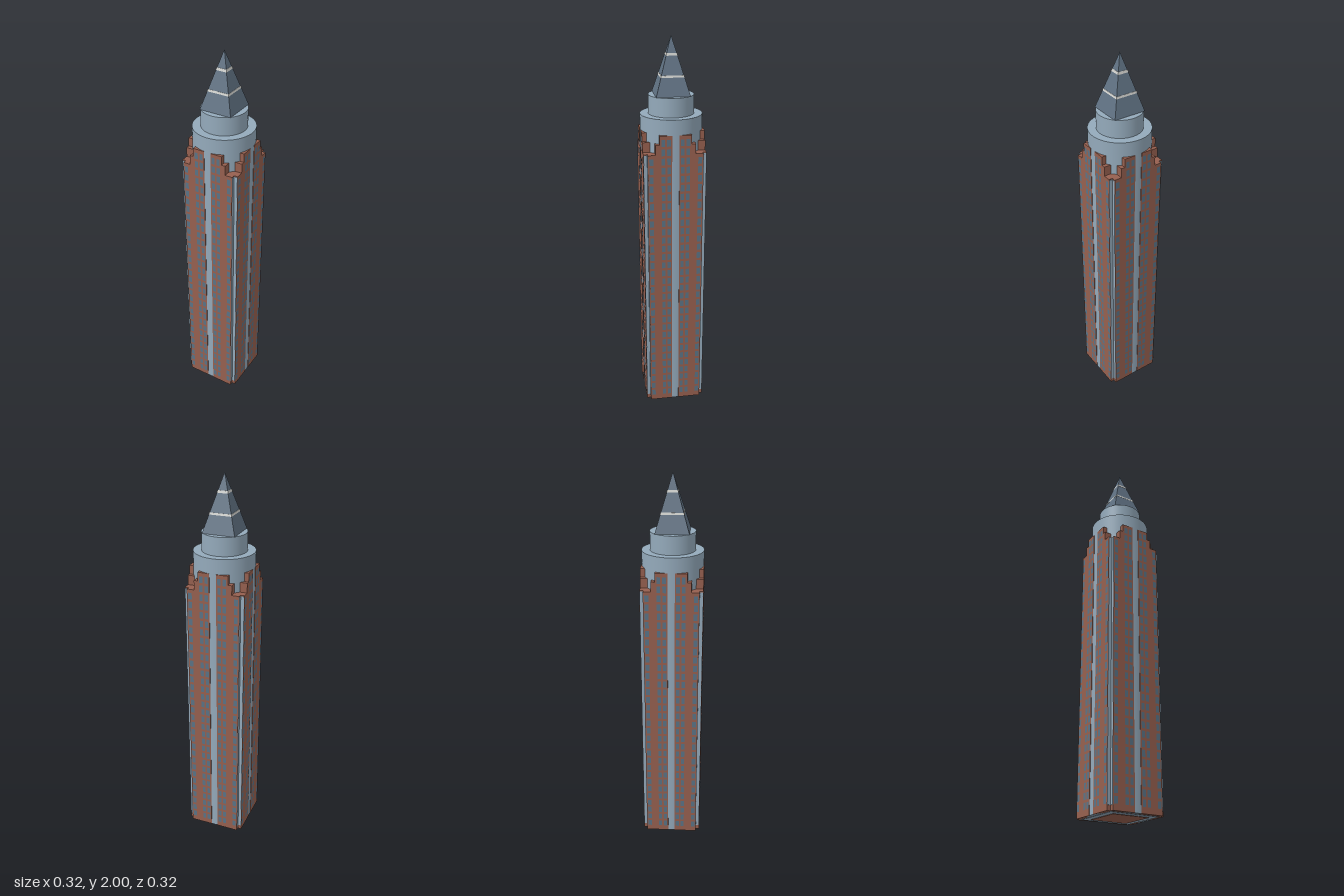
import * as THREE from 'three';
import { mergeGeometries } from 'three/addons/utils/BufferGeometryUtils.js';

const material = (name, color) => {
  const m = new THREE.MeshStandardMaterial({ color });
  m.name = name;
  return m;
};

const HALF = 0.158;   // half width of the shaft
const SLOT = 0.018;   // half width of the central glass slot
const CORNER = 0.138; // start of the corner notch

export function createModel() {
  const stone = material('red stone', 0x96604f);
  const glass = material('pale glass', 0x94aabb);
  const windowGlass = material('window glass', 0x5a7386);
  const slate = material('slate roof', 0x607182);
  const trim = material('light trim', 0xcfd0cc);

  const model = new THREE.Group();
  model.name = 'skyscraper';
  const add = (name, geometry, mat, parent = model) => {
    const mesh = new THREE.Mesh(geometry, mat);
    mesh.name = name;
    parent.add(mesh);
    return mesh;
  };
  const cylinder = (name, radius, y0, y1) => {
    const g = new THREE.CylinderGeometry(radius, radius, y1 - y0, 64);
    add(name, g.translate(0, (y0 + y1) / 2, 0), glass);
  };

  // Round glass core and upper drum
  cylinder('glassCore', 0.157, 0.004, 1.622);
  cylinder('upperDrum', 0.115, 1.62, 1.717);

  // One stone quadrant layer with its outer corner cut away from `notch` outward
  const quadrantLayer = (notch, y0, y1) => {
    const shape = new THREE.Shape([
      [SLOT, SLOT], [HALF, SLOT], [HALF, notch], [notch, notch], [notch, HALF], [SLOT, HALF],
    ].map(([x, y]) => new THREE.Vector2(x, y)));
    const g = new THREE.ExtrudeGeometry(shape, { depth: y1 - y0, bevelEnabled: false });
    return g.rotateX(-Math.PI / 2).translate(0, y0, 0);
  };
  const layers = [[CORNER, 0.004, 1.45], [0.10, 1.45, 1.5], [0.08, 1.5, 1.545]];

  // Window grid of one face: columns mirrored about the central slot
  const panes = [];
  const pitch = 0.047;
  for (const [x, width, top] of [[0.034, 0.018, 1.53], [0.062, 0.018, 1.53], [0.122, 0.02, 1.44]]) {
    for (let y = 0.035; y + 0.034 < top; y += pitch) {
      for (const side of [-1, 1]) {
        panes.push(new THREE.PlaneGeometry(width, 0.034).translate(side * x, y + 0.017, HALF + 0.001));
      }
    }
  }
  const paneGrid = mergeGeometries(panes);

  // Glass strips lining the corner notches on one side
  const strip = (side) => new THREE.BoxGeometry(0.018, 1.415, 0.002)
    .translate(side * (CORNER + 0.01), 0.7375, CORNER + 0.001);
  const strips = mergeGeometries([strip(-1), strip(1)]);

  // Four identical sides and quadrants
  for (let i = 0; i < 4; i++) {
    const side = new THREE.Group();
    side.name = 'towerSide' + (i + 1);
    side.rotation.y = i * Math.PI / 2;
    model.add(side);
    layers.forEach(([notch, y0, y1], k) => {
      add(['wallQuadrant', 'middleStep', 'topStep'][k], quadrantLayer(notch, y0, y1), stone, side);
    });
    add('windows', paneGrid, windowGlass, side);
    add('cornerGlass', strips, glass, side);
  }

  // Underside: glass ring around a stone panel
  add('undersideRing', new THREE.BoxGeometry(0.27, 0.003, 0.27).translate(0, 0.0035, 0), glass);
  add('undersidePanel', new THREE.BoxGeometry(0.2, 0.004, 0.2).translate(0, 0.002, 0), stone);

  // Square frustum following the slope of the roof, grown slightly for the bands
  const roofHalf = (y) => 0.085 * (2 - y) / (2 - 1.717);
  const frustum = (y0, y1, grow) => new THREE.CylinderGeometry(
    (roofHalf(y1) + grow) * Math.SQRT2, (roofHalf(y0) + grow) * Math.SQRT2, y1 - y0, 4)
    .rotateY(Math.PI / 4).translate(0, (y0 + y1) / 2, 0).toNonIndexed();
  const flat = (g) => {
    g.computeVertexNormals();
    return g;
  };
  add('pyramidRoof', flat(frustum(1.717, 2, 0)), slate);
  add('lowerRoofBand', flat(frustum(1.806, 1.816, 0.001)), trim);
  add('upperRoofBand', flat(frustum(1.906, 1.918, 0.001)), trim);

  return model;
}
